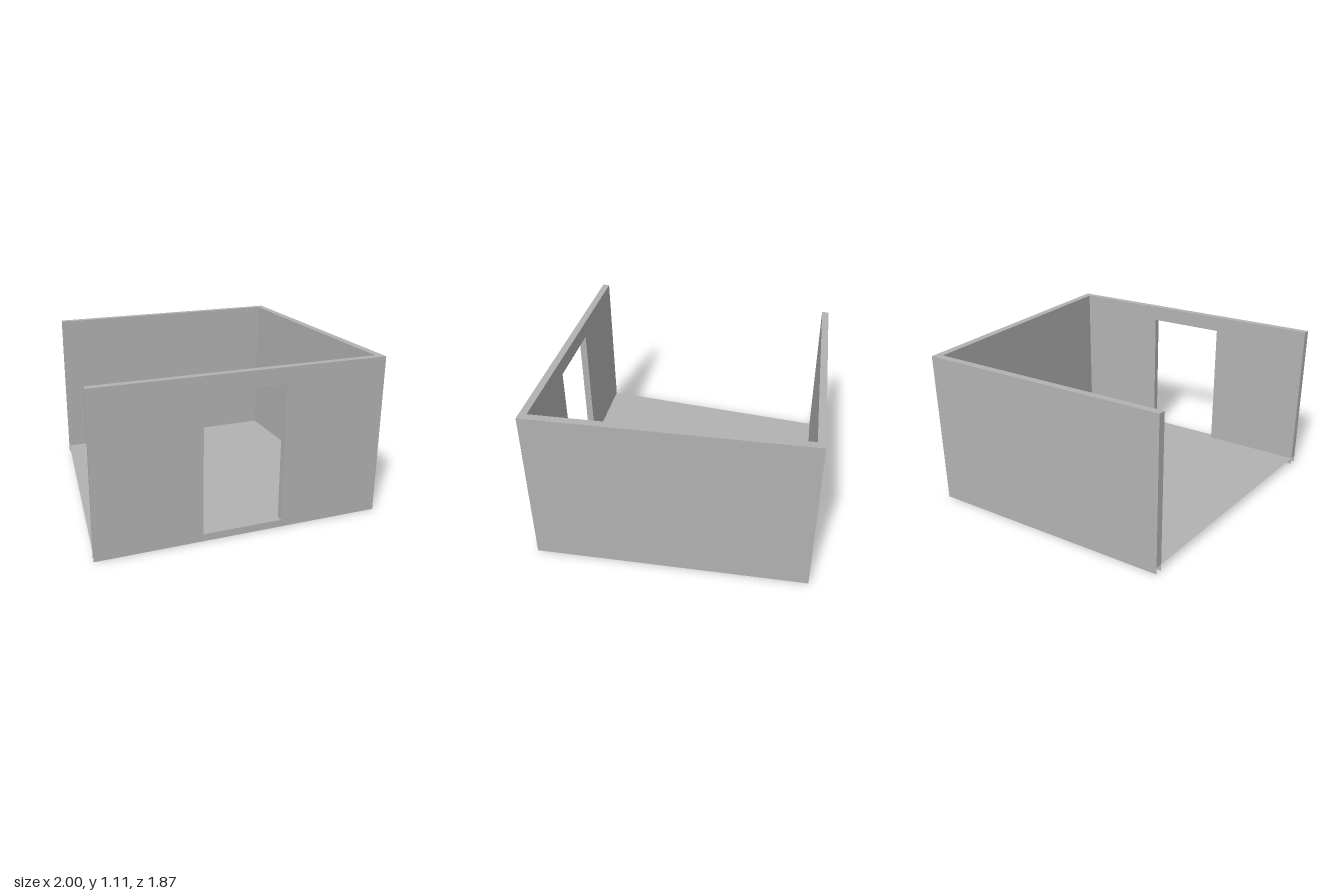
import * as THREE from 'three';

const HEIGHT = 1.11, FLOOR = 0.05;
const FRONT = 0.922, FRONT_IN = 0.872;
const DOOR = { x: 0.28, y0: FLOOR, y1: 1.0 };

// Plan corners as [x, z]; the open side runs at a slant
const outer = [[-1, FRONT], [1, FRONT], [1, -0.937], [-0.772, -0.937]];
const inner = [[-0.778, -0.888], [0.946, -0.888], [0.946, FRONT_IN], [-0.994, FRONT_IN]];

// Upright strip of flat quads along a plan path
function strip(path, y0, y1) {
  const pos = [];
  for (let i = 0; i < path.length - 1; i++) {
    const [ax, az] = path[i], [bx, bz] = path[i + 1];
    pos.push(ax, y0, az, bx, y0, bz, bx, y1, bz, ax, y0, az, bx, y1, bz, ax, y1, az);
  }
  const g = new THREE.BufferGeometry();
  g.setAttribute('position', new THREE.Float32BufferAttribute(pos, 3));
  g.computeVertexNormals();
  return g;
}

// Level polygon from plan points
function slab(points, y) {
  const shape = new THREE.Shape(points.map(([x, z]) => new THREE.Vector2(x, -z)));
  return new THREE.ShapeGeometry(shape).rotateX(-Math.PI / 2).translate(0, y, 0);
}

const rect = (Type, x0, x1, y0, y1) => new Type([[x0, y0], [x1, y0], [x1, y1], [x0, y1]]
  .map(([x, y]) => new THREE.Vector2(x, y)));

// Wall face with the doorway cut out
function doorPanel(x0, x1) {
  const shape = rect(THREE.Shape, x0, x1, 0, HEIGHT);
  shape.holes.push(rect(THREE.Path, -DOOR.x, DOOR.x, DOOR.y0, DOOR.y1));
  return new THREE.ShapeGeometry(shape);
}

export function createModel() {
  const model = new THREE.Group();
  model.name = 'openRoom';
  const grey = new THREE.MeshStandardMaterial({ color: 0xb2b2b2, side: THREE.DoubleSide });
  grey.name = 'plasterGrey';
  const add = (name, geometry) => {
    const mesh = new THREE.Mesh(geometry, grey);
    mesh.name = name;
    model.add(mesh);
  };

  // Front wall faces
  add('frontWallOutside', doorPanel(-1, 1).translate(0, 0, FRONT));
  add('frontWallInside', doorPanel(-0.946, 0.994).rotateY(Math.PI).translate(0, 0, FRONT_IN));

  // Side and back walls, with skirts reaching below the floor
  add('outerWalls', strip(outer.slice(1), 0, HEIGHT));
  add('innerWalls', strip(inner.slice(0, 3), 0, HEIGHT));

  // Wall ends on the open side stop at floor level
  add('backWallEnd', strip([outer[3], inner[0]], FLOOR, HEIGHT));
  add('frontWallEnd', strip([inner[3], outer[0]], FLOOR, HEIGHT));

  // Wall tops and floor
  add('wallRim', slab([...outer, ...inner], HEIGHT));
  add('floor', slab(inner, FLOOR));

  // Doorway lining: threshold, jambs and head
  const { x, y0, y1 } = DOOR;
  const loop = [[x, -y0], [-x, -y0], [-x, -y1], [x, -y1], [x, -y0]];
  add('doorwayLining', strip(loop, FRONT_IN, FRONT).rotateX(Math.PI / 2));

  // Thin sign board just in front of the wall
  add('doorBoard', new THREE.PlaneGeometry(0.625, 0.07).translate(-0.003, 1.04, 0.937));

  return model;
}
